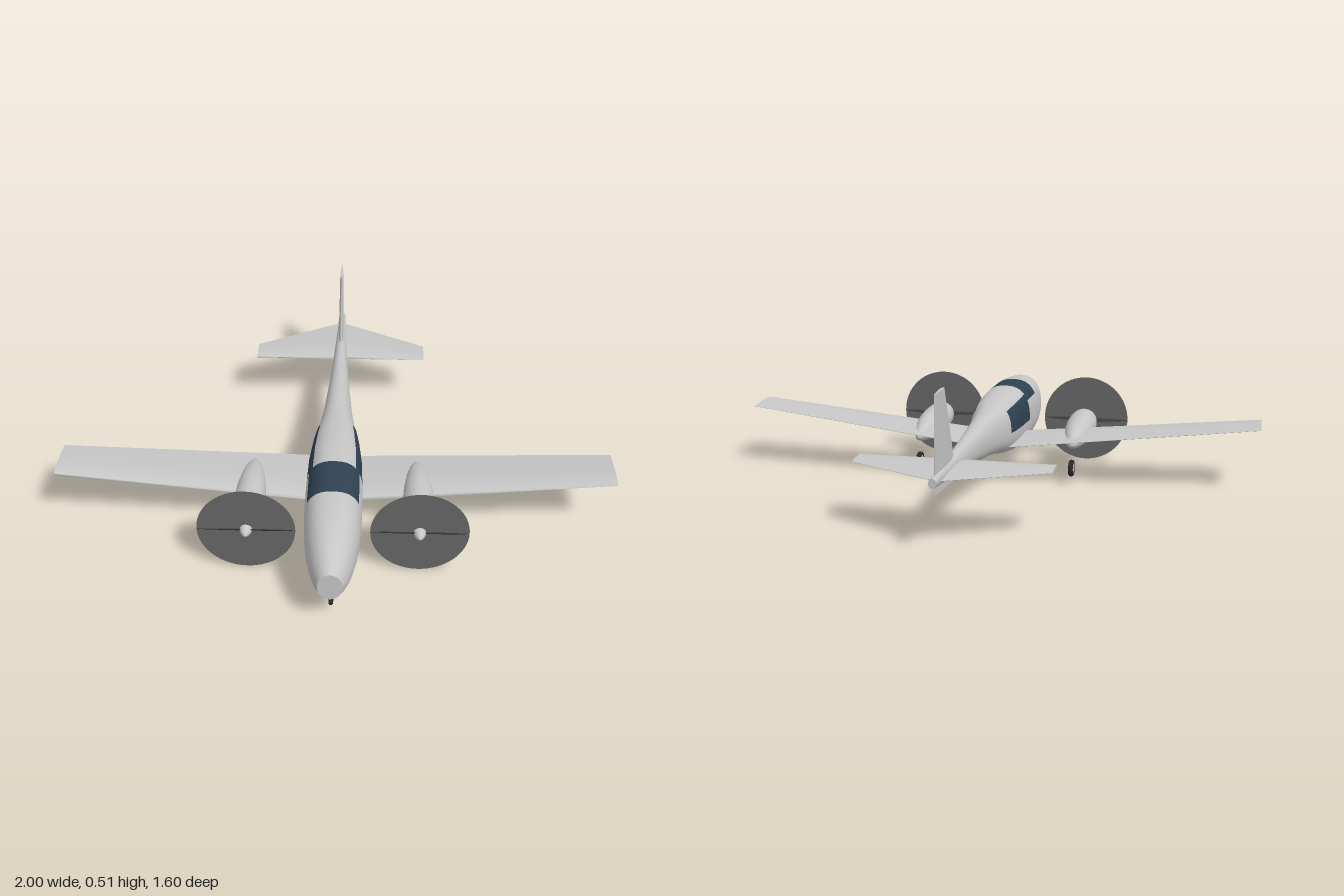
import * as THREE from 'three';

const flat = (name, color, extra = {}) => {
  const m = new THREE.MeshStandardMaterial({ color, ...extra });
  m.name = name;
  return m;
};

// Skin over a list of closed rings (first point repeated last), with flat end caps.
// paint(i, j) picks the material index of each quad.
function loft(rings, paint = () => 0) {
  const n = rings[0].length, pos = rings.flat(2), faces = [[], []];
  for (let i = 0; i < rings.length - 1; i++) {
    for (let j = 0; j < n - 1; j++) {
      const a = i * n + j, d = a + n;
      faces[paint(i, j)].push(a, a + 1, d + 1, a, d + 1, d);
    }
  }
  [rings[0], rings[rings.length - 1]].forEach((ring, end) => {
    const base = pos.length / 3;
    const mid = [0, 1, 2].map(k => ring.slice(1).reduce((s, p) => s + p[k], 0) / (n - 1));
    pos.push(...mid, ...ring.flat());
    for (let j = 1; j < n; j++) {
      faces[0].push(base, base + j + (end ? 0 : 1), base + j + (end ? 1 : 0));
    }
  });
  const g = new THREE.BufferGeometry();
  g.setAttribute('position', new THREE.Float32BufferAttribute(pos, 3));
  g.setIndex([...faces[0], ...faces[1]]);
  g.addGroup(0, faces[0].length, 0);
  if (faces[1].length) g.addGroup(faces[0].length, faces[1].length, 1);
  g.computeVertexNormals();
  return g;
}

// Superellipse ring in the xy plane, seam at the bottom
const SEG = 48;
function oval(z, x, halfWidth, bottom, middle, top, power) {
  const ring = [];
  for (let j = 0; j <= SEG; j++) {
    const t = -Math.PI / 2 + (j / SEG) * Math.PI * 2;
    const c = Math.cos(t), s = Math.sin(t);
    const h = s > 0 ? top - middle : middle - bottom;
    ring.push([
      x + Math.sign(c) * Math.abs(c) ** (2 / power) * halfWidth,
      middle + Math.sign(s) * Math.abs(s) ** (2 / power) * h, z]);
  }
  return ring;
}

// Aerofoil outline as [chord fraction from leading edge, half thickness fraction]
const upper = [[1, 0.04], [0.7, 0.55], [0.45, 0.92], [0.28, 1], [0.12, 0.8], [0.04, 0.48]];
const foil = [...upper, [0, 0], ...upper.map(([c, t]) => [c, -t]).reverse(), upper[0]];
const flatFoil = (x, y, lead, trail, thick) =>
  foil.map(([c, t]) => [x, y + t * thick / 2, lead + (trail - lead) * c]);
const uprightFoil = (y, lead, trail, thick) =>
  foil.map(([c, t]) => [-t * thick / 2, y, lead + (trail - lead) * c]);

export function createModel() {
  const model = new THREE.Group();
  model.name = 'twinEngineAircraft';
  const skin = flat('lightGrey', 0xc6c6c6);
  const glass = flat('darkBlueGlass', 0x2f4152);
  const discGrey = flat('propellerDiscGrey', 0x666666, { side: THREE.DoubleSide });
  const bladeGrey = flat('bladeGrey', 0x3c3c3c);
  const rubber = flat('tyreBlack', 0x2a2a2a);

  const add = (name, geometry, material, parent = model) => {
    const mesh = new THREE.Mesh(geometry, material);
    mesh.name = name;
    parent.add(mesh);
    return mesh;
  };

  // Fuselage: z, half width, bottom, widest height, top, roundness
  const stations = [
    [-0.8, 0.013, 0.22, 0.236, 0.252, 2],
    [-0.7, 0.016, 0.21, 0.233, 0.257, 2],
    [-0.5, 0.026, 0.192, 0.23, 0.271, 2.1],
    [-0.3, 0.038, 0.171, 0.225, 0.284, 2.2],
    [-0.1, 0.055, 0.147, 0.214, 0.299, 2.3],
    [0, 0.068, 0.131, 0.208, 0.308, 2.4],
    [0.05, 0.079, 0.12, 0.205, 0.314, 2.5],
    [0.1, 0.087, 0.109, 0.203, 0.32, 2.5],
    [0.2, 0.097, 0.092, 0.202, 0.329, 2.5],
    [0.32, 0.1, 0.084, 0.2, 0.333, 2.5],
    [0.48, 0.1, 0.083, 0.2, 0.33, 2.5],
    [0.58, 0.095, 0.084, 0.2, 0.325, 2.4],
    [0.65, 0.087, 0.088, 0.198, 0.317, 2.3],
    [0.7, 0.077, 0.095, 0.197, 0.304, 2.2],
    [0.74, 0.066, 0.106, 0.196, 0.288, 2.1],
    [0.77, 0.055, 0.12, 0.195, 0.272, 2],
    [0.8, 0.042, 0.141, 0.195, 0.249, 2]];
  // Windscreen wraps over the roof; side windows sit behind it
  const windows = (i, j) => {
    const z = (stations[i][0] + stations[i + 1][0]) / 2;
    const around = ((j + 0.5) / SEG) * 360 - 90;
    const angle = Math.min(around, 180 - around);
    if (z > 0.32 && z < 0.48) return angle > 30 ? 1 : 0;
    if (z > 0.05 && z < 0.32) return angle > 0 && angle < 45 ? 1 : 0;
    return 0;
  };
  add('fuselage', loft(stations.map(([z, ...s]) => oval(z, 0, ...s)), windows), [skin, glass]);

  // Wings, tailplane and fin
  const pair = (name, root, tip) => {
    add(name + 'Left', loft([flatFoil(0, ...root), flatFoil(...tip)]), skin);
    add(name + 'Right', loft([flatFoil(-tip[0], ...tip.slice(1)), flatFoil(0, ...root)]), skin);
  };
  pair('wing', [0.14, 0.315, 0.05, 0.036], [1, 0.24, 0.315, 0.14, 0.02]);
  pair('tailplane', [0.23, -0.475, -0.75, 0.026], [0.34, 0.23, -0.475, -0.575, 0.014]);
  add('fin', loft([
    uprightFoil(0.188, -0.505, -0.772, 0.022),
    uprightFoil(0.512, -0.645, -0.765, 0.012)]), skin);

  // Wheels: tyre with a pale hub, axle along x
  const tyreProfile = [[0.55, -0.25], [0.85, -0.28], [0.97, -0.17], [1, 0], [0.97, 0.17], [0.85, 0.28], [0.55, 0.25]];
  const wheel = (name, x, y, z, r) => {
    const g = new THREE.Group();
    g.name = name;
    g.position.set(x, y, z);
    g.rotation.z = Math.PI / 2;
    add('tyre', new THREE.LatheGeometry(tyreProfile.map(([a, b]) => new THREE.Vector2(a * r, b * r)), 28), rubber, g);
    add('hub', new THREE.CylinderGeometry(r * 0.57, r * 0.57, r * 0.46, 24), skin, g);
    model.add(g);
  };
  wheel('noseWheel', 0, 0.059, 0.707, 0.028);

  // Engine pods: z, radius, centre height
  const pod = [
    [0.1, 0.004, 0.156], [0.112, 0.016, 0.157], [0.15, 0.03, 0.161], [0.2, 0.042, 0.165],
    [0.27, 0.052, 0.169], [0.34, 0.056, 0.171], [0.41, 0.056, 0.172], [0.45, 0.052, 0.173],
    [0.48, 0.045, 0.173], [0.497, 0.036, 0.173], [0.503, 0.024, 0.173]];
  const spinnerProfile = [[0.023, 0], [0.02, 0.014], [0.012, 0.03], [0.005, 0.037], [0, 0.039]]
    .map(([r, h]) => new THREE.Vector2(r, h));
  for (const [side, x] of [['left', 0.3], ['right', -0.3]]) {
    add(side + 'EnginePod', loft(pod.map(([z, r, y]) => oval(z, x, r, y - r, y, y + r, 2))), skin);
    const prop = new THREE.Group();
    prop.name = side + 'Propeller';
    prop.position.set(x, 0.173, 0.502);
    model.add(prop);
    add('spinner', new THREE.LatheGeometry(spinnerProfile, 24).rotateX(Math.PI / 2), skin, prop);
    add('propellerDisc', new THREE.CircleGeometry(0.171, 64), discGrey, prop).position.z = 0.004;
    // Two pitched blades, tapering to the tips
    const blades = new THREE.SphereGeometry(1, 24, 12).scale(0.169, 0.013, 0.003).rotateX(Math.PI / 4);
    add('blades', blades, bladeGrey, prop).position.z = 0.005;
    wheel(side + 'MainWheel', x, 0.063, 0.117, 0.032);
  }
  return model;
}
